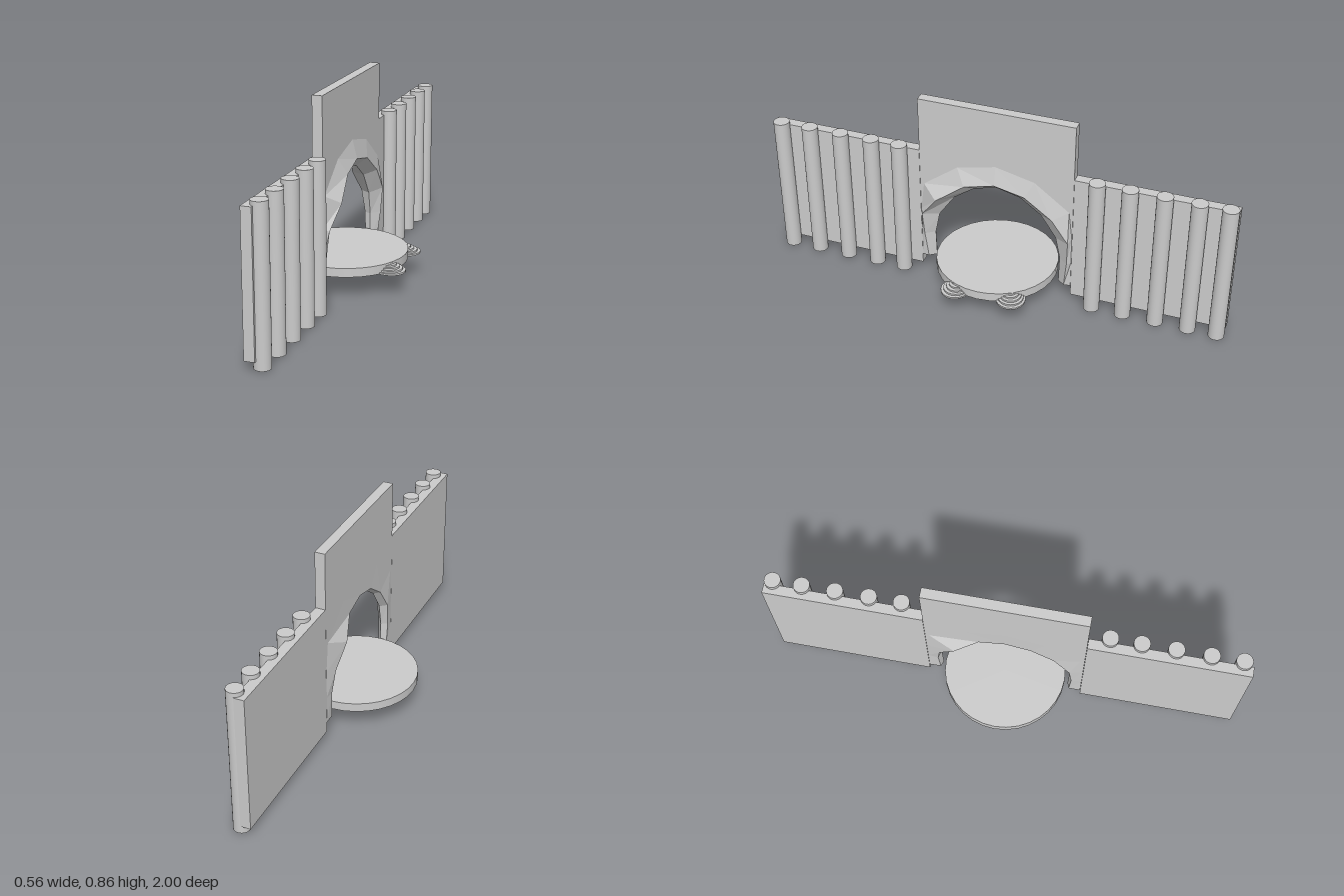
import * as THREE from 'three';

const grey = new THREE.MeshStandardMaterial({ color: 0xcccccc });
const rimMat = new THREE.MeshStandardMaterial({ color: 0xcccccc, flatShading: true, side: THREE.DoubleSide });

// Half of the arch: opening edge and outer edge as [z, y]
const inner = [[0.275, 0.08], [0.278, 0.2], [0.258, 0.3], [0.19, 0.4], [0.1, 0.465], [0, 0.49]];
const outer = [[0.305, 0.08], [0.318, 0.2], [0.322, 0.31], [0.25, 0.41], [0.13, 0.495], [0, 0.525]];
const mirror = half => [...half, ...half.slice(0, -1).reverse().map(([z, y]) => [-z, y])];

export function createModel() {
  const root = new THREE.Group();
  const add = (name, geometry, x, y, z, parent = root, material = grey) => {
    const mesh = new THREE.Mesh(geometry, material);
    mesh.name = name;
    mesh.position.set(x, y, z);
    parent.add(mesh);
    return mesh;
  };

  // Side wall panels
  for (const s of [1, -1])
    add('wallPanel', new THREE.BoxGeometry(0.043, 0.58, 0.665), -0.0145, 0.325, s * 0.6675);

  // Round posts along the walls
  const post = new THREE.CylinderGeometry(0.034, 0.034, 0.633, 24);
  for (const z of [-0.966, -0.845, -0.707, -0.567, -0.432, 0.42, 0.547, 0.686, 0.827, 0.958])
    add('wallPost', post, 0.019, 0.3165, z);

  // Tall centre slab, open at the bottom for the archway
  const shape = new THREE.Shape();
  shape.moveTo(0.334, 0.08);
  shape.lineTo(0.334, 0.86);
  shape.lineTo(-0.334, 0.86);
  shape.lineTo(-0.334, 0.08);
  for (const [z, y] of mirror(outer).reverse()) shape.lineTo(z, y);
  const slab = new THREE.ExtrudeGeometry(shape, { depth: 0.043, bevelEnabled: false });
  slab.rotateY(Math.PI / 2);
  add('archSlab', slab, -0.036, 0, 0);

  // Rough flared rim of the archway, lofted from four-point sections
  const lipX = [0.01, 0.016, 0.03, 0.055, 0.036, 0.028, 0.026, 0.028, 0.03, 0.022, 0.01];
  const backX = [-0.036, -0.04, -0.043, -0.037, -0.036, -0.036, -0.037, -0.07, -0.052, -0.04, -0.036];
  const ins = mirror(inner), outs = mirror(outer);
  const sections = outs.map(([z, y], i) => {
    const a = Math.atan2(Math.max(y - 0.25, 0), z);
    const skirtZ = THREE.MathUtils.clamp(z + 0.08 * Math.cos(a), -0.333, 0.333);
    const skirtY = y + 0.08 * Math.sin(a);
    const [iz, iy] = ins[i];
    return [
      [0.0075, skirtY, skirtZ],
      [lipX[i], y, z],
      [-0.012, iy, iz],
      [backX[i], iy + 0.3 * (y - iy), iz + 0.3 * (z - iz)],
      [-0.0365, skirtY, skirtZ],
    ];
  });
  const pos = [];
  const quad = (a, b, c, d) => pos.push(...a, ...b, ...c, ...a, ...c, ...d);
  for (let i = 0; i < sections.length - 1; i++)
    for (let j = 0; j < 4; j++)
      quad(sections[i][j], sections[i][j + 1], sections[i + 1][j + 1], sections[i + 1][j]);
  for (const s of [sections[0], sections.at(-1)]) {
    quad(s[0], s[1], s[2], s[3]);
    pos.push(...s[0], ...s[3], ...s[4]);
  }
  const rim = new THREE.BufferGeometry();
  rim.setAttribute('position', new THREE.Float32BufferAttribute(pos, 3));
  rim.computeVertexNormals();
  add('archRim', rim, 0, 0, 0, root, rimMat);

  // Round floor platform
  add('platform', new THREE.CylinderGeometry(0.261, 0.261, 0.038, 32), -0.02, 0.116, 0);

  // Two stacks of rounded steps at the platform edge
  for (const [x, z, turn] of [[0.195, -0.133, 0.35], [0.208, 0.103, -0.3]]) {
    const stack = new THREE.Group();
    stack.name = 'roundedSteps';
    stack.position.set(x, 0, z);
    stack.rotation.y = turn;
    for (let i = 0; i < 5; i++) {
      const r = 0.068 - i * 0.009;
      const step = add('step', new THREE.CylinderGeometry(r, r, 0.0075, 20), -i * 0.005, 0.0995 + i * 0.0075, 0, stack);
      step.scale.z = 0.92;
    }
    root.add(stack);
  }
  return root;
}
